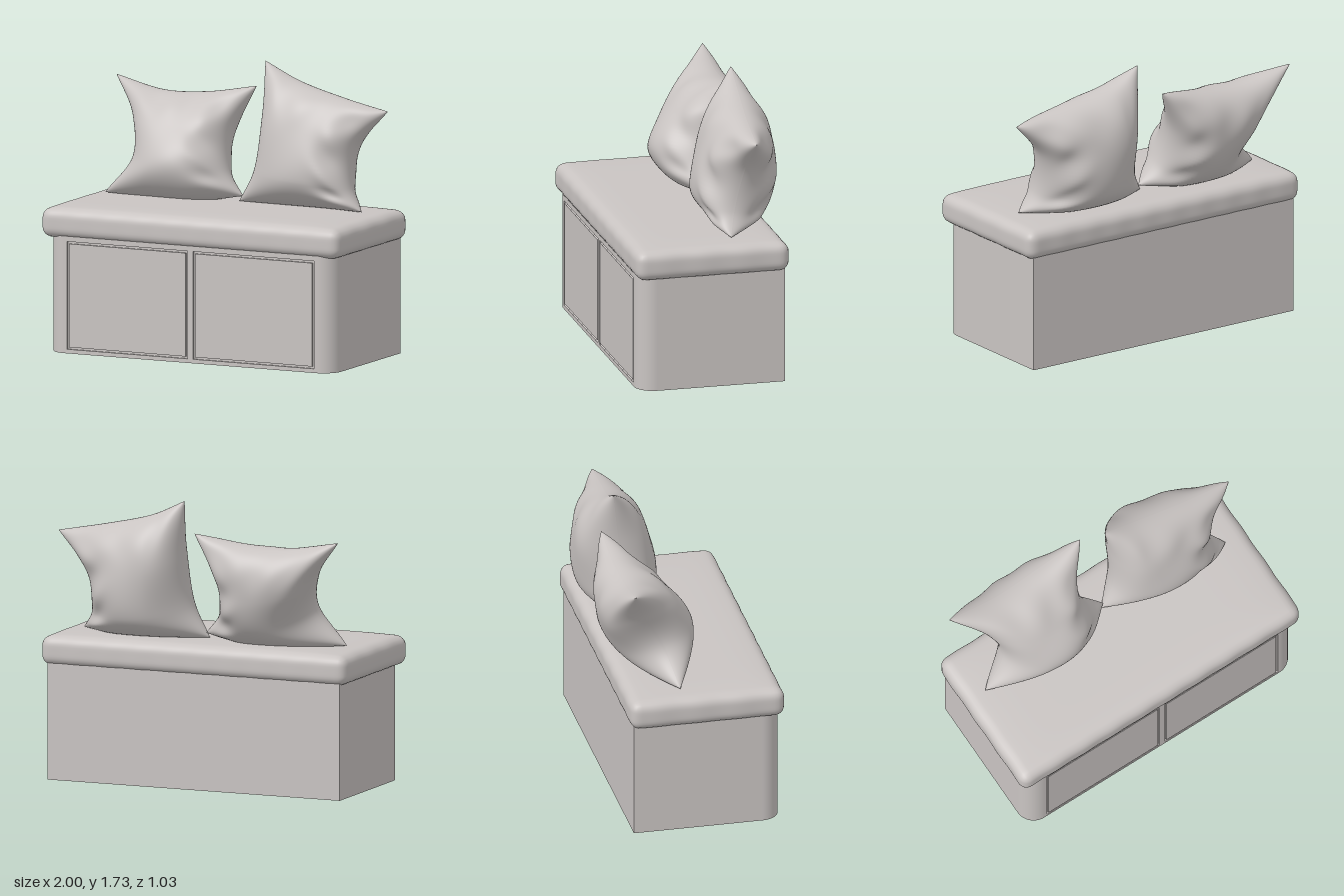
import * as THREE from 'three';
import { mergeVertices, mergeGeometries } from 'three/addons/utils/BufferGeometryUtils.js';

const fabric = new THREE.MeshStandardMaterial({ color: 0xc9c4c2 });
fabric.name = 'warm grey';

const SEAT_TOP = 0.882;

function add(parent, name, geometry) {
  const mesh = new THREE.Mesh(geometry, fabric);
  mesh.name = name;
  parent.add(mesh);
  return mesh;
}

function rect(Kind, x0, y0, x1, y1) {
  const s = new Kind();
  s.moveTo(x0, y0);
  s.lineTo(x1, y0);
  s.lineTo(x1, y1);
  s.lineTo(x0, y1);
  s.closePath();
  return s;
}

// Chest: plan with two rounded front corners and a shallow recess for the face
function buildChest() {
  const chest = new THREE.Group();
  chest.name = 'chest';
  const w = 0.957, back = -0.405, front = 0.5, r = 0.115, depth = 0.012, fx = w - r;
  const plan = new THREE.Shape();
  plan.moveTo(-w, -back);
  plan.lineTo(-w, -front + r);
  plan.absarc(-fx, -front + r, r, Math.PI, Math.PI * 1.5, false);
  plan.lineTo(-fx, -front + depth);
  plan.lineTo(fx, -front + depth);
  plan.lineTo(fx, -front);
  plan.absarc(fx, -front + r, r, -Math.PI / 2, 0, false);
  plan.lineTo(w, -back);
  plan.closePath();
  const body = new THREE.ExtrudeGeometry(plan, { depth: 0.71, bevelEnabled: false, curveSegments: 14 });
  body.rotateX(-Math.PI / 2);
  smoothUpright(body, fx, front - r);
  add(chest, 'chestBody', body);

  // Front face with two openings, each filled by a drawer panel with a groove round it
  const face = rect(THREE.Shape, -fx, 0, fx, 0.71);
  const gap = 0.013;
  for (const [name, x0, x1] of [['rightDrawer', -0.823, -0.015], ['leftDrawer', 0.022, 0.833]]) {
    face.holes.push(rect(THREE.Path, x0, 0.025, x1, 0.678));
    const panel = new THREE.BoxGeometry(x1 - x0 - 2 * gap, 0.653 - 2 * gap, depth);
    panel.translate((x0 + x1) / 2, 0.3515, front - depth / 2);
    add(chest, name, panel);
  }
  const frame = new THREE.ExtrudeGeometry(face, { depth, bevelEnabled: false });
  frame.translate(0, 0, front - depth);
  add(chest, 'drawerFrame', frame);
  return chest;
}

// Radial normals on the rounded upright corners
function smoothUpright(geo, cx, cz) {
  const p = geo.attributes.position, n = geo.attributes.normal;
  for (let i = 0; i < p.count; i++) {
    const dx = Math.abs(p.getX(i)) - cx, dz = p.getZ(i) - cz;
    if (Math.abs(n.getY(i)) > 0.5 || dx < 0.001 || dz < 0.001) continue;
    const l = Math.hypot(dx, dz);
    n.setXYZ(i, Math.sign(p.getX(i)) * dx / l, 0, dz / l);
  }
}

// Seat: rounded slab with a soft crown and faintly uneven sides
function buildSeat() {
  const half = new THREE.Vector3(0.993, 0.088, 0.468), r = 0.055;
  const inner = half.clone().subScalar(r);
  let geo = new THREE.BoxGeometry(half.x * 2, half.y * 2, half.z * 2, 90, 12, 44);
  geo.deleteAttribute('uv');
  geo.deleteAttribute('normal');
  geo = mergeVertices(geo);
  const p = geo.attributes.position, v = new THREE.Vector3(), c = new THREE.Vector3();
  for (let i = 0; i < p.count; i++) {
    v.fromBufferAttribute(p, i);
    c.copy(v).clamp(inner.clone().negate(), inner);
    v.sub(c).setLength(r).add(c);
    const a = v.x / half.x, b = v.z / half.z;
    if (v.y > 0) v.y += 0.018 * (1 - a ** 8) * (1 - b ** 6) * v.y / half.y;
    const puff = 1 - (v.y / 0.11) ** 2;
    v.x += 0.006 * puff * a ** 9 + 0.002 * Math.sin(v.z * 25) * a ** 8;
    v.z += 0.004 * puff * b ** 9 + 0.0015 * Math.sin(v.x * 31) * b ** 8;
    p.setXYZ(i, v.x, v.y, v.z);
  }
  geo.computeVertexNormals();
  geo.translate(0, 0.783, 0.045);
  return geo;
}

// Pillow: four seam curves span a patch, puffed out to both sides along the lean
function buildPillow({ bottom, top, left, right, lean, thick, fold }) {
  const curve = pts => new THREE.CatmullRomCurve3(pts.map(q => new THREE.Vector3(...q)));
  const [B, T, L, R] = [bottom, top, left, right].map(curve);
  const normal = new THREE.Vector3(...lean).normalize();
  const N = 56;
  const ease = k => (1 - Math.cos(Math.PI * k / N)) / 2;
  const corners = [B.getPoint(0), B.getPoint(1), T.getPoint(0), T.getPoint(1)];

  function patch(s, t) {
    const p = new THREE.Vector3();
    p.addScaledVector(B.getPoint(s), 1 - t).addScaledVector(T.getPoint(s), t);
    p.addScaledVector(L.getPoint(t), 1 - s).addScaledVector(R.getPoint(t), s);
    p.addScaledVector(corners[0], -(1 - s) * (1 - t)).addScaledVector(corners[1], -s * (1 - t));
    return p.addScaledVector(corners[2], -(1 - s) * t).addScaledVector(corners[3], -s * t);
  }

  function sheet(side) {
    const pos = [], idx = [];
    for (let j = 0; j <= N; j++) for (let i = 0; i <= N; i++) {
      const s = ease(i), t = ease(j), u = 2 * s - 1, v = 2 * t - 1;
      const puff = Math.sqrt(Math.max(0, (1 - u * u) * (1 - v * v)));
      // Folds gather at the right seam, with light gathers along the top
      const crease = fold * Math.exp(-(((u - 0.72) / 0.26) ** 2)) * Math.sin(v * 10 + u * 4 + side)
        + 0.04 * Math.exp(-(((v - 0.8) / 0.25) ** 2)) * Math.sin(u * 11 + side * 2)
        + 0.025 * Math.sin(u * 4 - v * 5);
      const p = patch(s, t).addScaledVector(normal, side * thick * puff * (1 + crease));
      p.y = Math.max(p.y, SEAT_TOP - 0.004);
      pos.push(p.x, p.y, p.z);
      if (i < N && j < N) {
        const a = j * (N + 1) + i, b = a + 1, c = a + N + 1, d = c + 1;
        if (side > 0) idx.push(a, b, d, a, d, c);
        else idx.push(a, d, b, a, c, d);
      }
    }
    const g = new THREE.BufferGeometry();
    g.setAttribute('position', new THREE.Float32BufferAttribute(pos, 3));
    g.setIndex(idx);
    g.computeVertexNormals();
    return g;
  }
  return mergeGeometries([sheet(1), sheet(-1)]);
}

export function createModel() {
  const model = new THREE.Group();
  model.name = 'storageBench';
  model.add(buildChest());
  add(model, 'seatCushion', buildSeat());

  // Pillow leaning back on the right-hand side
  add(model, 'rightPillow', buildPillow({
    bottom: [[-0.87, 0.89, -0.1], [-0.6, 0.885, -0.1], [-0.25, 0.885, -0.11], [0.02, 0.92, -0.17]],
    top: [[-0.94, 1.56, -0.39], [-0.6, 1.49, -0.38], [-0.3, 1.5, -0.39], [0, 1.555, -0.39]],
    left: [[-0.87, 0.89, -0.1], [-0.7, 1.1, -0.17], [-0.76, 1.33, -0.29], [-0.94, 1.56, -0.39]],
    right: [[0.02, 0.92, -0.17], [-0.09, 1.06, -0.2], [-0.12, 1.28, -0.29], [0, 1.555, -0.39]],
    lean: [0, 0.3, 0.95], thick: 0.255, fold: 0.09,
  }));

  // Taller, more upright pillow on the left-hand side
  add(model, 'leftPillow', buildPillow({
    bottom: [[0, 0.89, -0.16], [0.3, 0.885, -0.18], [0.6, 0.885, -0.17], [0.85, 0.89, -0.1]],
    top: [[0.11, 1.73, -0.29], [0.33, 1.63, -0.28], [0.65, 1.55, -0.25], [0.96, 1.49, -0.23]],
    left: [[0, 0.89, -0.16], [0.1, 1.08, -0.19], [0.13, 1.4, -0.25], [0.11, 1.73, -0.29]],
    right: [[0.85, 0.89, -0.1], [0.765, 1.02, -0.14], [0.775, 1.27, -0.2], [0.96, 1.49, -0.23]],
    lean: [0, 0.12, 0.99], thick: 0.25, fold: 0.11,
  }));
  return model;
}
